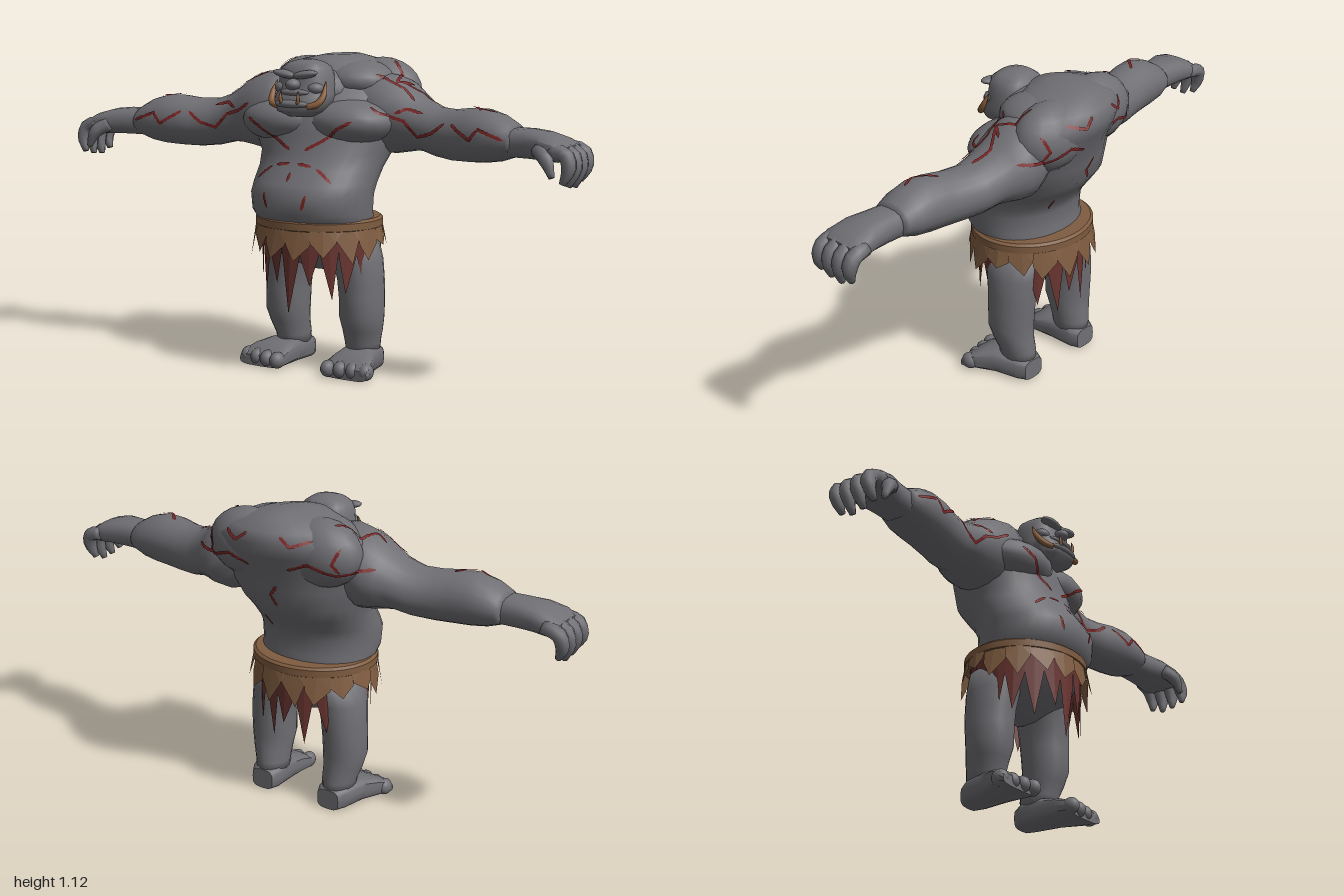
import * as THREE from 'three';
import { toCreasedNormals } from 'three/addons/utils/BufferGeometryUtils.js';

const V = (x, y, z) => new THREE.Vector3(x, y, z);

// Closed skin over a list of equal-length point rings, capped at both ends
function loft(rings, crease = 0) {
  const n = rings[0].length, pos = [], idx = [];
  rings.forEach(r => r.forEach(p => pos.push(p.x, p.y, p.z)));
  for (let i = 0; i < rings.length - 1; i++) for (let j = 0; j < n; j++) {
    const a = i * n + j, b = i * n + (j + 1) % n;
    idx.push(a, b, a + n, b, b + n, a + n);
  }
  [0, rings.length - 1].forEach((k, end) => {
    const c = rings[k].reduce((s, p) => s.add(p), V(0, 0, 0)).divideScalar(n);
    const m = pos.length / 3;
    pos.push(c.x, c.y, c.z);
    for (let j = 0; j < n; j++) {
      const a = k * n + j, b = k * n + (j + 1) % n;
      end ? idx.push(a, b, m) : idx.push(b, a, m);
    }
  });
  // Turn the faces outward if the volume comes out negative
  const at = i => V(pos[3 * i], pos[3 * i + 1], pos[3 * i + 2]);
  let vol = 0;
  for (let i = 0; i < idx.length; i += 3) vol += at(idx[i]).dot(at(idx[i + 1]).cross(at(idx[i + 2])));
  if (vol < 0) idx.reverse();
  const g = new THREE.BufferGeometry();
  g.setAttribute('position', new THREE.Float32BufferAttribute(pos, 3));
  g.setIndex(idx);
  g.computeVertexNormals();
  return crease ? toCreasedNormals(g, crease) : g;
}

// Rounded ring: half sizes a along u and b along v, sharper corners with a higher power
function ring(c, u, v, a, b, n = 20, pow = 2) {
  return Array.from({ length: n }, (_, i) => {
    const t = i / n * Math.PI * 2, f = w => Math.sign(w) * Math.abs(w) ** (2 / pow);
    return c.clone().addScaledVector(u, a * f(Math.cos(t))).addScaledVector(v, b * f(Math.sin(t)));
  });
}
const X = V(1, 0, 0), Y = V(0, 1, 0), Z = V(0, 0, 1);

// Tapered tube along a smooth path
function horn(points, radii, n = 8) {
  const curve = new THREE.CatmullRomCurve3(points.map(p => V(...p)));
  const steps = 8, fr = curve.computeFrenetFrames(steps);
  return loft(Array.from({ length: steps + 1 }, (_, i) => {
    const t = i / steps * (radii.length - 1), k = Math.min(Math.floor(t), radii.length - 2);
    const r = THREE.MathUtils.lerp(radii[k], radii[k + 1], t - k);
    return ring(curve.getPointAt(i / steps), fr.normals[i], fr.binormals[i], r, r, n);
  }));
}
const blob = (x, y, z, a, b, c) => new THREE.SphereGeometry(1, 18, 12).scale(a, b, c).translate(x, y, z);

// Triangle list from points
function triangles(points) {
  const geo = new THREE.BufferGeometry().setFromPoints(points);
  geo.computeVertexNormals();
  return geo;
}

export function createModel() {
  const model = new THREE.Group();
  model.name = 'tuskedBrute';
  const mat = (name, color, side = THREE.FrontSide) => {
    const m = new THREE.MeshStandardMaterial({ color, side });
    m.name = name;
    return m;
  };
  const skin = mat('greySkin', 0x706f74), tan = mat('tanHide', 0x7f5c40, THREE.DoubleSide);
  const cloth = mat('redCloth', 0x6a3531, THREE.DoubleSide), scarRed = mat('scarRed', 0x7c2626, THREE.DoubleSide);
  const tusk = mat('tusk', 0x8a5f3c), body = [];
  const add = (name, geo, m = skin) => {
    const mesh = new THREE.Mesh(geo, m);
    mesh.name = name;
    model.add(mesh);
    if (m === skin) body.push(mesh);
  };

  // Torso, twisted a little at the shoulders: y, half width, front z, back z
  const twist = (x, y) => -0.15 * x * THREE.MathUtils.smoothstep(y, 0.72, 0.92);
  const torso = [[.36, .08, .06, -.05], [.42, .18, .16, -.09], [.5, .205, .215, -.1], [.55, .215, .25, -.1],
    [.58, .219, .278, -.092], [.64, .224, .281, -.092], [.68, .226, .258, -.11], [.73, .228, .222, -.15],
    [.78, .238, .192, -.19], [.85, .262, .178, -.208], [.92, .285, .165, -.23], [.98, .285, .13, -.26],
    [1.03, .255, .085, -.28], [1.07, .2, .055, -.262], [1.1, .12, .035, -.222], [1.115, .05, -.03, -.185]];
  add('torso', loft(torso.map(([y, w, f, b]) => {
    const r = ring(V(0, y, (f + b) / 2), X, Z, w, (f - b) / 2, 32, y > .9 ? 1.9 : 2.1);
    r.forEach(p => { p.z += twist(p.x, y); });
    return r;
  })));
  add('neck', blob(0, .99, .05, .12, .085, .09));

  // Head: y, half width, front z, back z
  const head = [[.912, .045, .2, .11], [.93, .082, .236, .075], [.96, .1, .238, .055], [.985, .102, .22, .05],
    [1.02, .097, .207, .045], [1.05, .094, .207, .045], [1.08, .082, .2, .05], [1.097, .058, .18, .07], [1.106, .025, .15, .1]];
  add('head', loft(head.map(([y, w, f, b]) => ring(V(0, y, (f + b) / 2), X, Z, w, (f - b) / 2, 20, 2.5))));
  add('nose', blob(0, 1.024, .214, .026, .02, .029));
  add('lowerLip', blob(0, .957, .217, .07, .016, .028));
  add('upperLip', blob(0, .996, .202, .06, .014, .024));
  for (const s of [1, -1]) {
    add('brow', blob(0, 0, 0, .05, .014, .026).rotateZ(s * .15).translate(s * .04, 1.058, .2));
    add('cheek', blob(s * .066, 1.01, .175, .03, .022, .03));
    add('largeTusk', horn([[s * .062, .95, .222], [s * .092, .958, .207], [s * .105, .985, .185], [s * .1, 1.035, .16]],
      [.01, .0125, .01, .001]), tusk);
    add('smallTusk', horn([[s * .033, .96, .235], [s * .036, .98, .238], [s * .034, 1.003, .234]], [.007, .006, .001]), tusk);
  }

  for (const s of [1, -1]) {
    const dz = s < 0 ? .1 : 0;
    // Muscles of chest and back
    add('pectoral', blob(s * .115, .89, .055 + twist(s * .12, .9), .175, .085, .137));
    add('shoulderBlade', blob(s * .14, .985, -.13 + twist(s * .14, 1), .15, .12, .105));
    add('trapezius', blob(s * .1, 1.025, -.07, .13, .072, .14));

    // Arm and shoulder along x: x, y, z, half height, half depth
    const arm = [[.1, .95, -.06, .1, .09], [.17, .925, -.065, .135, .125], [.24, .912, -.08, .138, .135], [.29, .905, -.085, .123, .128],
      [.33, .893, -.078, .104, .115], [.37, .88, -.068, .09, .104], [.43, .862, -.055, .086, .097], [.5, .857, -.035, .088, .094],
      [.57, .862, -.022, .092, .096], [.63, .864, -.016, .091, .097], [.69, .86, -.012, .078, .092],
      [.735, .855, -.008, .058, .08], [.75, .852, -.006, .05, .07]];
    add('arm', loft(arm.map(([x, y, z, a, b]) => ring(V(s * x, y, z + dz), Y, Z, a, b, 20))));
    // Hand with four curled fingers and a thumb
    const palm = [[.72, .85, -.006, .05, .066], [.8, .85, 0, .05, .07], [.86, .847, .008, .047, .082],
      [.92, .837, .012, .04, .09], [.955, .828, .012, .026, .084]];
    add('hand', loft(palm.map(([x, y, z, a, b]) => ring(V(s * x, y, z + dz), Y, Z, a, b, 16, 2.6)), .7));
    for (let i = 0; i < 4; i++) {
      const z = .076 - i * .046 + dz, drop = [.012, 0, -.005, .012][i];
      add('finger', horn([[s * .905, .84, z], [s * .96, .825, z], [s * .972, .782, z + .008], [s * .955, .722 + drop, z + .018]],
        [.025, .027, .025, .011]));
    }
    add('thumb', horn([[s * .86, .84, .07 + dz], [s * .9, .81, .1 + dz], [s * .925, .755, .108 + dz]], [.028, .024, .01]));

    // Leg: y, x, half width, z, half depth
    const leg = [[.48, .12, .085, .02, .11], [.4, .142, .085, .016, .1], [.33, .152, .08, .013, .094], [.27, .156, .079, .013, .09],
      [.2, .157, .079, .015, .086], [.15, .155, .07, .005, .078], [.1, .148, .06, -.008, .073], [.06, .148, .058, -.01, .07]];
    add('leg', loft(leg.map(([y, x, a, z, b]) => ring(V(s * x, y, z), X, Z, a, b, 18))));
    // Foot along z: z, x, half width, height
    const foot = [[-.083, .146, .045, .075], [-.05, .148, .062, .086], [.04, .158, .07, .09], [.1, .17, .085, .078], [.15, .178, .095, .058], [.165, .179, .09, .04]];
    add('foot', loft(foot.map(([z, x, a, h]) => ring(V(s * x, h / 2, z), X, Y, a, h / 2, 16, 3.5)), .6));
    for (let i = 0; i < 4; i++)
      add('toe', blob(s * (.108 + i * .047), .031, .16 - i * .008, .026, .03, .032));
  }

  // Waist wrap: a band with two ragged layers of pointed strips
  const waist = (t, y, grow) => V(Math.sin(t) * (.218 + grow), y, .05 + Math.cos(t) * (.195 + grow));
  const turn = Array.from({ length: 48 }, (_, i) => i / 48 * Math.PI * 2);
  add('waistBand', loft([[.52, .006], [.525, .014], [.55, .014], [.558, .004]].map(([y, g]) => turn.map(t => waist(t, y, g))), .6), tan);
  // Tips are listed from the front strip round to the back one
  function strips(name, m, count, top, mid, tips, grow, flare, shift) {
    const points = [];
    for (let i = 0; i < count; i++) {
      const w = Math.PI * 2 / count, c = (i + shift) * w, out = grow + (i % 2) * .003;
      const tip = tips[Math.round(Math.min(i + shift, count - i - shift) - shift)], y = mid + (i % 3) * .01;
      const a = waist(c - w * .56, top, out), b = waist(c, top, out + .002), d = waist(c + w * .56, top, out);
      const e = waist(c - w * .5, y, out + flare * .6), f = waist(c + w * .5, y, out + flare * .6);
      const g = waist(c + w * .15 * (i % 3 - 1), tip, out + flare);
      points.push(a, e, b, b, e, g, b, g, f, b, f, d);
    }
    add(name, triangles(points), m);
  }
  strips('hideStrips', tan, 16, .545, .475, [.42, .435, .41, .42, .46, .445, .425, .41], .005, .022, .5);
  strips('clothStrips', cloth, 18, .52, .43, [.225, .33, .28, .3, .34, .4, .42, .3, .255, .32], -.012, -.002, 0);

  // Scars: jagged ribbons laid on the skin from one direction
  model.updateMatrixWorld(true);
  const caster = new THREE.Raycaster();
  const views = {
    front: [(a, b) => V(a, b, 2), V(0, 0, -1)], back: [(a, b) => V(a, b, -2), V(0, 0, 1)],
    top: [(a, b) => V(a, 2, b), V(0, -1, 0)],
  };
  function scar(view, path, half = .0065) {
    const [from, dir] = views[view], hits = [], points = [];
    path.slice(1).forEach(([x1, y1], k) => {
      const [x0, y0] = path[k], steps = Math.ceil(Math.hypot(x1 - x0, y1 - y0) / .01);
      for (let i = k ? 1 : 0; i <= steps; i++) {
        caster.set(from(x0 + (x1 - x0) * i / steps, y0 + (y1 - y0) * i / steps), dir);
        const hit = caster.intersectObjects(body, false)[0];
        if (hit) hits.push({ p: hit.point.addScaledVector(hit.face.normal, .004), n: hit.face.normal });
      }
    });
    // Edge points at constant width, tapering at both ends
    const last = hits.length - 1;
    const edges = hits.map(({ p, n }, i) => {
      const along = hits[Math.min(i + 1, last)].p.clone().sub(hits[Math.max(i - 1, 0)].p);
      const w = half * (i === 0 || i === last ? .25 : 1 - .25 * (i % 2));
      const side = along.cross(n).setLength(w);
      return [p.clone().add(side), p.clone().sub(side)];
    });
    for (let i = 0; i < last; i++) {
      const [[a, b], [c, d]] = [edges[i], edges[i + 1]];
      if (hits[i].p.distanceTo(hits[i + 1].p) < .06) points.push(a, b, c, c, b, d);
    }
    add('scar', triangles(points), scarRed);
  }
  for (const s of [1, -1]) {
    const m = path => path.map(([x, y]) => [s * x, y]), dz = s < 0 ? .1 : 0;
    scar('front', m([[.73, .86], [.64, .892], [.61, .855], [.53, .9]]));
    scar('front', m([[.5, .9], [.45, .865], [.39, .85], [.335, .9], [.28, .915], [.23, .945]]));
    scar('front', m([[.4, .925], [.34, .94], [.3, .925]]));
    scar('front', m([[.35, .965], [.3, 1.005], [.2, 1.05]]));
    scar('front', m([[.2, .9], [.15, .875], [.09, .83], [.03, .795]], .007));
    scar('front', m([[.15, .69], [.12, .715], [.09, .735]]));
    scar('front', m([[.07, .742], [.015, .75]]));
    scar('front', m([[.085, .65], [.07, .6]]));
    scar('top', m([[.31, -.08 + dz], [.27, -.03 + dz * .6], [.25, -.1 + dz * .6], [.2, -.13]]));
    scar('top', m([[.67, dz], [.62, .015 + dz], [.56, -.045 + dz]], .007));
    scar('back', m([[.33, .95], [.24, .94], [.15, .97], [.07, .94]], .007));
    scar('back', m([[.16, 1.05], [.1, 1.03], [.06, 1.06]]));
    scar('back', m([[.25, 1.03], [.23, .98], [.25, .95]]));
  }
  scar('front', [[0, .72], [0, .69]]);
  scar('back', [[-.02, .87], [.01, .83], [-.01, .79]]);
  scar('back', [[.09, .72], [.08, .67]]);
  scar('top', [[.42, -.06], [.35, -.08], [.28, -.04]]);
  return model;
}
